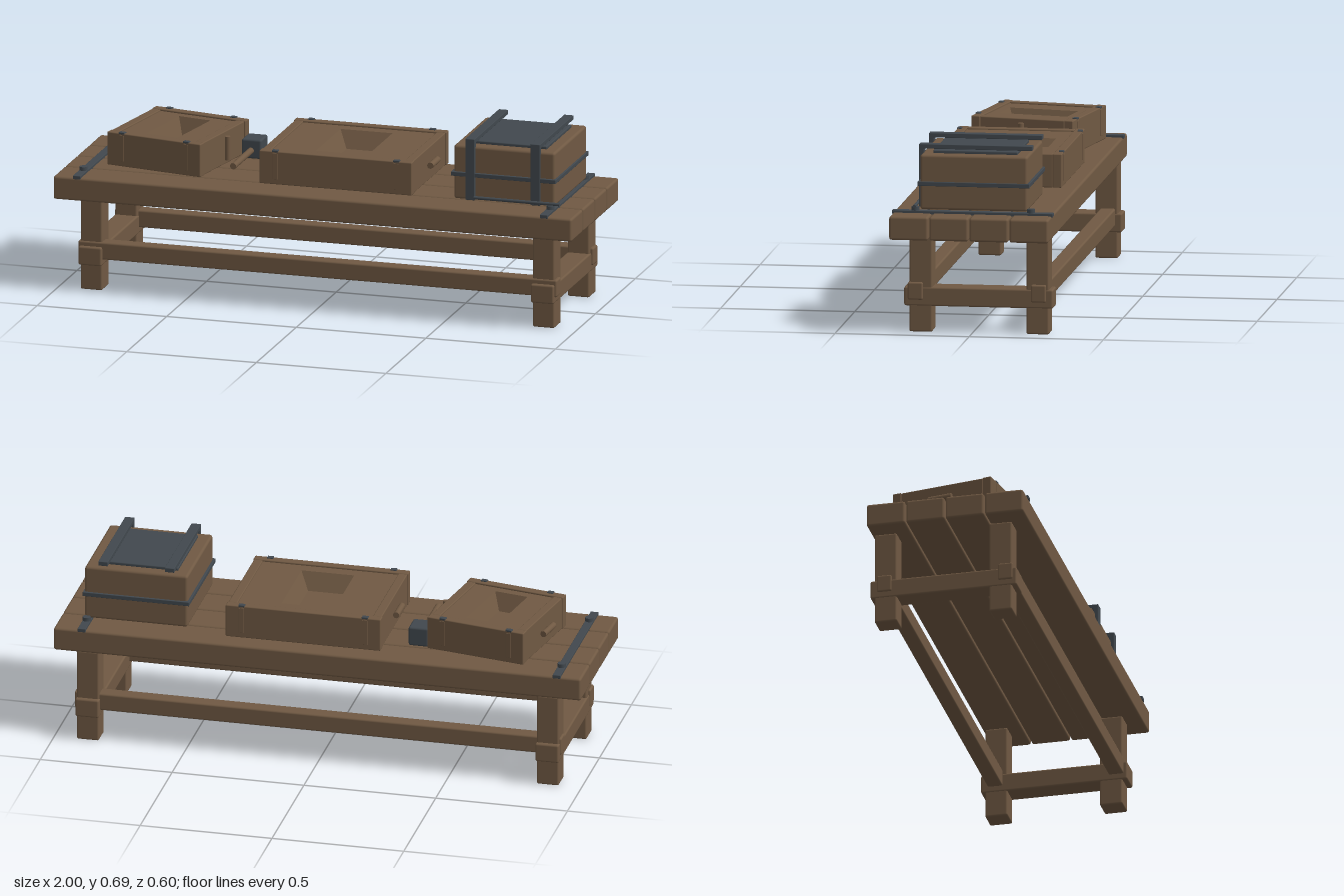
import * as THREE from 'three';
import { RoundedBoxGeometry } from 'three/addons/geometries/RoundedBoxGeometry.js';

const wood = new THREE.MeshStandardMaterial({ color: 0x705943 });
wood.name = 'brown wood';
const iron = new THREE.MeshStandardMaterial({ color: 0x41484e });
iron.name = 'dark iron';

function add(parent, name, geometry, material) {
  const mesh = new THREE.Mesh(geometry, material);
  mesh.name = name;
  parent.add(mesh);
  return mesh;
}

// Softly rounded block given by its limits on each axis
function block(parent, name, material, [x0, x1], [y0, y1], [z0, z1], radius = 0.006) {
  const w = x1 - x0, h = y1 - y0, d = z1 - z0;
  const r = Math.min(radius, Math.min(w, h, d) * 0.3);
  const mesh = add(parent, name, new RoundedBoxGeometry(w, h, d, 2, r), material);
  mesh.position.set((x0 + x1) / 2, (y0 + y1) / 2, (z0 + z1) / 2);
  return mesh;
}

// Round bar along one axis
function rod(parent, name, material, axis, length, radius, x, y, z) {
  const geometry = new THREE.CylinderGeometry(radius, radius, length, 14);
  if (axis === 'x') geometry.rotateZ(Math.PI / 2);
  if (axis === 'z') geometry.rotateX(Math.PI / 2);
  const mesh = add(parent, name, geometry, material);
  mesh.position.set(x, y, z);
  return mesh;
}

// Inward facing sloped walls and floor of a rectangular pit, opening at y = 0
function pitGeometry(w, d, inset, depth) {
  const ring = (a, b, y) => [[-a, y, -b], [a, y, -b], [a, y, b], [-a, y, b]];
  const top = ring(w / 2, d / 2, 0);
  const low = ring(w / 2 - inset, d / 2 - inset, -depth);
  const points = [];
  const quad = (a, b, c, e) => points.push(...a, ...b, ...c, ...a, ...c, ...e);
  for (let i = 0; i < 4; i++) {
    const j = (i + 1) % 4;
    quad(low[i], low[j], top[j], top[i]);
  }
  quad(low[3], low[2], low[1], low[0]);
  const geometry = new THREE.BufferGeometry();
  geometry.setAttribute('position', new THREE.Float32BufferAttribute(points, 3));
  geometry.computeVertexNormals();
  return geometry;
}

function rectangle(Kind, w, d) {
  return new Kind([[-1, -1], [1, -1], [1, 1], [-1, 1]]
    .map(([a, b]) => new THREE.Vector2(a * w / 2, b * d / 2)));
}

// Framed mould box with a sunken pit, iron clips and end handles
function mouldBox(name, w, d, pit, inset, uprightHandle) {
  const box = new THREE.Group();
  box.name = name;
  const h = 0.126, t = 0.034, panelY = 0.119;
  for (const s of [-1, 1]) {
    const zc = s * (d - t) / 2;
    block(box, 'frameBoard', wood, [-w / 2, w / 2], [0, h], [zc - t / 2, zc + t / 2], 0.004);
    const xc = s * ((w - t) / 2 - 0.003);
    block(box, 'endBoard', wood, [xc - t / 2, xc + t / 2], [0, h - 0.001],
      [-d / 2 + t, d / 2 - t], 0.004);
    for (const e of [-1, 1]) {
      const x = e * (w / 2 - 0.06), z = s * (d / 2 - 0.009);
      block(box, 'clip', iron, [x - 0.012, x + 0.012], [h - 0.004, h + 0.004], [z - 0.009, z + 0.009], 0.002);
      const zf = s * d / 2;
      block(box, 'batten', wood, [x - 0.01, x + 0.01], [0.02, h - 0.008], [zf - 0.002, zf + 0.002], 0.001);
    }
    if (uprightHandle && s > 0) {
      rod(box, 'handle', wood, 'y', 0.09, 0.011, w / 2 + 0.012, 0.065, 0);
    } else {
      rod(box, 'handle', wood, 'z', 0.092, 0.012, s * (w / 2 + 0.014), 0.066, 0);
    }
  }
  const shape = rectangle(THREE.Shape, w - 2 * t + 0.006, d - 2 * t);
  shape.holes.push(rectangle(THREE.Path, pit[0], pit[1]));
  const panel = add(box, 'panel',
    new THREE.ExtrudeGeometry(shape, { depth: 0.01, bevelEnabled: false }), wood);
  panel.rotation.x = -Math.PI / 2;
  panel.position.y = panelY - 0.01;
  add(box, 'pit', pitGeometry(pit[0], pit[1], inset, 0.065), wood).position.y = panelY;
  block(box, 'base', wood, [-w / 2 + t, w / 2 - t], [0, 0.02], [-d / 2 + t, d / 2 - t], 0.002);
  return box;
}

function createBench() {
  const bench = new THREE.Group();
  bench.name = 'bench';
  // Four top planks
  for (let i = 0; i < 4; i++) {
    const z = 0.299 - i * 0.1495;
    block(bench, 'topPlank', wood, [-1, 1], [0.354, 0.442], [z - 0.145, z], 0.009);
  }
  for (const s of [-1, 1]) {
    // Legs and end rail
    const x = s * 0.8725;
    for (const [z0, z1] of [[0.15, 0.236], [-0.285, -0.2]]) {
      block(bench, 'leg', wood, [x - 0.042, x + 0.042], [0, 0.356], [z0, z1], 0.007);
    }
    block(bench, 'endRail', wood, [x - 0.0445, x + 0.0445], [0.097, 0.168], [-0.3, 0.255], 0.007);
    // Iron strap with bolts across the top
    const sx = s < 0 ? -0.909 : 0.893;
    block(bench, 'topStrap', iron, [sx - 0.015, sx + 0.015], [0.437, 0.451], [-0.298, 0.301], 0.002);
    for (const z of [-0.215, 0.216]) rod(bench, 'bolt', iron, 'y', 0.016, 0.015, sx, 0.457, z);
  }
  // Long rails
  for (const [z0, z1] of [[0.184, 0.241], [-0.275, -0.218]]) {
    block(bench, 'longRail', wood, [-0.922, 0.925], [0.12, 0.186], [z0, z1], 0.007);
  }
  return bench;
}

function createCrate() {
  const crate = new THREE.Group();
  crate.name = 'strappedCrate';
  block(crate, 'crateBody', wood, [0.514, 0.904], [0.455, 0.66], [-0.203, 0.197], 0.01);
  block(crate, 'topPlate', iron, [0.56, 0.86], [0.658, 0.671], [-0.16, 0.154], 0.005);
  // Band around all four sides
  const y = [0.544, 0.56];
  for (const z of [-0.205, 0.2]) block(crate, 'band', iron, [0.506, 0.91], y, [z - 0.006, z + 0.006], 0.002);
  for (const x of [0.512, 0.904]) block(crate, 'band', iron, [x - 0.006, x + 0.006], y, [-0.211, 0.206], 0.002);
  // Angled straps up the front and over the top
  for (const x of [0.58, 0.832]) {
    block(crate, 'frontStrap', iron, [x - 0.018, x + 0.018], [0.457, 0.69], [0.19, 0.209], 0.002);
    block(crate, 'lidStrap', iron, [x - 0.018, x + 0.018], [0.674, 0.691], [-0.213, 0.209], 0.002);
  }
  rod(crate, 'loosePin', iron, 'x', 0.33, 0.006, 0.763, 0.47, 0.215);
  return crate;
}

function createMallet() {
  const mallet = new THREE.Group();
  mallet.name = 'mallet';
  block(mallet, 'malletHead', iron, [-0.393, -0.317], [0.457, 0.531], [-0.175, -0.09], 0.008);
  rod(mallet, 'malletHandle', wood, 'z', 0.25, 0.012, -0.357, 0.488, 0.007);
  return mallet;
}

export function createModel() {
  const model = new THREE.Group();
  model.name = 'castingBench';
  model.add(createBench(), createCrate(), createMallet());

  const large = mouldBox('largeMouldBox', 0.588, 0.467, [0.2, 0.31], 0.033, false);
  large.position.set(0.064, 0.457, -0.017);
  const small = mouldBox('smallMouldBox', 0.387, 0.396, [0.13, 0.265], 0.027, true);
  small.position.set(-0.616, 0.457, -0.021);
  small.rotation.y = -0.178;
  model.add(large, small);
  return model;
}
